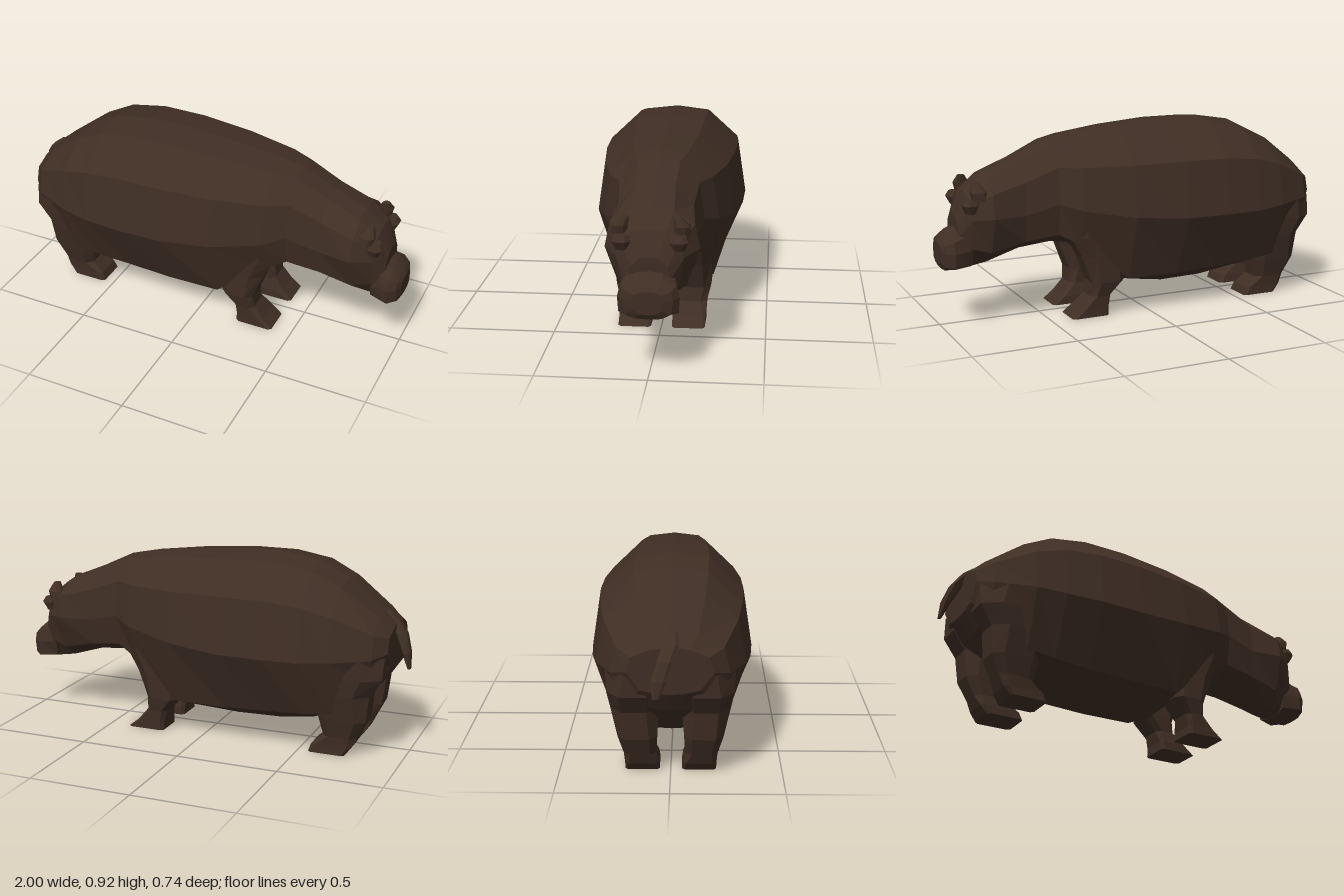
import * as THREE from 'three';

const hide = new THREE.MeshStandardMaterial({ color: 0x3f2e24, flatShading: true });
hide.name = 'dark brown hide';

// Skin a closed surface over a row of rings of [x, y, z] points
function loft(name, rings) {
  const n = rings[0].length, idx = [];
  for (let r = 0; r < rings.length - 1; r++) {
    for (let i = 0; i < n; i++) {
      const a = r * n + i, b = r * n + (i + 1) % n;
      idx.push(a, b, b + n, a, b + n, a + n);
    }
  }
  const last = (rings.length - 1) * n;
  for (let i = 1; i < n - 1; i++) {
    idx.push(0, i + 1, i, last, last + i, last + i + 1);
  }
  const g = new THREE.BufferGeometry();
  g.setAttribute('position', new THREE.Float32BufferAttribute(rings.flat(2), 3));
  g.setIndex(idx);
  const flat = g.toNonIndexed();
  flat.computeVertexNormals();
  const mesh = new THREE.Mesh(flat, hide);
  mesh.name = name;
  return mesh;
}

// Symmetric ring across x: back edge, shoulder, widest side, lower flank, belly
function bodyRing([x, top, side, width, flank, flankWidth, bottom]) {
  const half = [
    [0.46 * width, top - 0.02 * width / 0.37],
    [0.89 * width, side + 0.61 * (top - side)],
    [width, side],
    [flankWidth, flank],
    [Math.min(0.06, 0.6 * flankWidth), bottom + 0.004],
  ];
  return [[x, top, 0], ...half.map(([z, y]) => [x, y, z]), [x, bottom, 0],
    ...half.reverse().map(([z, y]) => [x, y, -z])];
}

// Horizontal chamfered ring for limbs: height, x range, z range, chamfer
function limbRing([y, x0, x1, z0, z1, c = 0.25]) {
  const dx = (x1 - x0) * c, dz = (z1 - z0) * c;
  return [[x0 + dx, y, z1], [x1 - dx, y, z1], [x1, y, z1 - dz], [x1, y, z0 + dz],
    [x1 - dx, y, z0], [x0 + dx, y, z0], [x0, y, z0 + dz], [x0, y, z1 - dz]];
}

// Stacked limb rings on one side (s = 1 or -1)
function limb(name, s, rows) {
  return loft(name, rows.map(([y, x0, x1, zi, zo, c]) =>
    limbRing([y, x0, x1, Math.min(s * zi, s * zo), Math.max(s * zi, s * zo), c])));
}

export function createModel() {
  const model = new THREE.Group();
  model.name = 'hippopotamus';

  // Barrel body running forward into neck and head
  model.add(loft('bodyAndHead', [
    [-0.92, 0.63, 0.52, 0.19, 0.44, 0.13, 0.42],
    [-0.86, 0.685, 0.5, 0.26, 0.36, 0.2, 0.33],
    [-0.68, 0.82, 0.49, 0.335, 0.22, 0.245, 0.18],
    [-0.54, 0.89, 0.48, 0.36, 0.2, 0.245, 0.125],
    [-0.36, 0.92, 0.48, 0.372, 0.19, 0.24, 0.1],
    [-0.14, 0.92, 0.48, 0.366, 0.18, 0.24, 0.095],
    [0.12, 0.9, 0.5, 0.335, 0.18, 0.235, 0.14],
    [0.36, 0.87, 0.54, 0.27, 0.37, 0.21, 0.345],
    [0.46, 0.85, 0.57, 0.208, 0.42, 0.18, 0.36],
    [0.62, 0.775, 0.53, 0.19, 0.4, 0.165, 0.345],
    [0.78, 0.71, 0.53, 0.21, 0.36, 0.15, 0.295],
    [0.87, 0.64, 0.52, 0.15, 0.38, 0.12, 0.28],
    [0.92, 0.53, 0.43, 0.09, 0.33, 0.09, 0.275],
  ].map(bodyRing)));

  // Broad blunt muzzle
  model.add(loft('muzzle', [
    [0.86, 0.5, 0.37, 0.115, 0.3, 0.1, 0.28],
    [0.95, 0.455, 0.365, 0.135, 0.295, 0.13, 0.272],
    [0.985, 0.425, 0.365, 0.11, 0.3, 0.1, 0.275],
    [1.0, 0.405, 0.365, 0.065, 0.32, 0.06, 0.3],
  ].map(bodyRing)));

  for (const s of [1, -1]) {
    const side = s > 0 ? 'left' : 'right';

    // Front leg with forward-pointing foot
    model.add(limb(side + 'FrontLeg', s, [
      [0, 0.21, 0.4, 0.05, 0.208, 0.08],
      [0.04, 0.21, 0.35, 0.05, 0.208, 0.1],
      [0.1, 0.195, 0.3, 0.065, 0.212, 0.2],
      [0.17, 0.13, 0.295, 0.06, 0.23, 0.2],
      [0.3, 0.11, 0.345, 0.06, 0.235],
      [0.4, 0.12, 0.4, 0.06, 0.24],
      [0.56, 0.16, 0.42, 0.1, 0.25],
    ]));

    // Hind leg with thick haunch
    model.add(limb(side + 'HindLeg', s, [
      [0, -0.73, -0.55, 0.05, 0.205, 0.08],
      [0.04, -0.76, -0.565, 0.055, 0.205, 0.1],
      [0.09, -0.785, -0.62, 0.065, 0.21, 0.2],
      [0.18, -0.83, -0.6, 0.06, 0.235, 0.2],
      [0.31, -0.845, -0.57, 0.05, 0.265],
      [0.4, -0.905, -0.56, 0.04, 0.28],
      [0.5, -0.91, -0.6, 0.05, 0.285, 0.35],
    ]));

    // Small upright ear
    model.add(limb(side + 'Ear', s, [
      [0.61, 0.79, 0.86, 0.1, 0.17],
      [0.65, 0.8, 0.87, 0.1, 0.168],
      [0.69, 0.825, 0.855, 0.095, 0.13],
    ]));

    // Protruding brow over the eye
    model.add(limb(side + 'Brow', s, [
      [0.55, 0.84, 0.89, 0.09, 0.15],
      [0.59, 0.83, 0.91, 0.085, 0.165],
      [0.615, 0.83, 0.895, 0.09, 0.155],
    ]));
  }

  // Short tail curling to one side
  model.add(loft('tail', [
    [0.425, -1.0, -0.985, -0.075, -0.045],
    [0.5, -0.995, -0.955, -0.08, -0.01],
    [0.58, -0.97, -0.915, -0.055, 0.015],
    [0.64, -0.925, -0.86, -0.03, 0.04],
    [0.68, -0.875, -0.81, -0.02, 0.035],
  ].map(limbRing)));

  return model;
}
